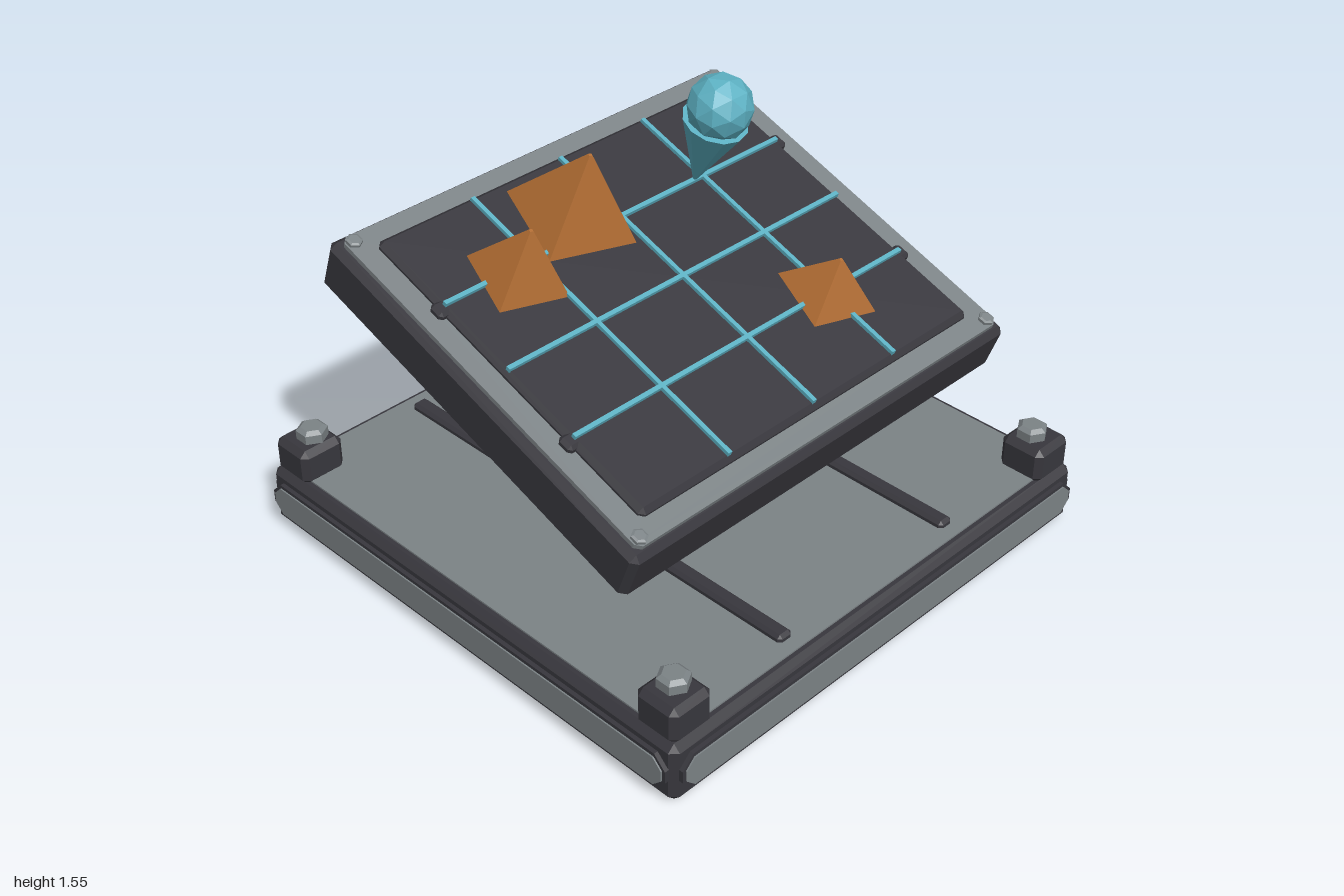
import * as THREE from 'three';
import { ConvexGeometry } from 'three/addons/geometries/ConvexGeometry.js';

const mat = (name, color, flatShading = true) => {
  const m = new THREE.MeshStandardMaterial({ color, flatShading });
  m.name = name;
  return m;
};

export function createModel() {
  const dark = mat('dark metal', 0x38373d);
  const grey = mat('grey metal', 0x7c8386);
  const teal = mat('teal', 0x5cb0c2);
  const orange = mat('orange', 0xb06c32);

  const add = (parent, name, geo, material, x = 0, y = 0, z = 0) => {
    const m = new THREE.Mesh(geo, material);
    m.name = name;
    m.position.set(x, y, z);
    parent.add(m);
    return m;
  };
  const group = (parent, name, x = 0, y = 0, z = 0) => {
    const g = new THREE.Group();
    g.name = name;
    g.position.set(x, y, z);
    parent.add(g);
    return g;
  };

  // Box with every edge chamfered by c
  const chamferBox = (w, h, d, c) => {
    const pts = [];
    for (const sx of [-1, 1]) for (const sy of [-1, 1]) for (const sz of [-1, 1]) {
      const [x, y, z] = [w / 2, h / 2, d / 2];
      pts.push(new THREE.Vector3(sx * x, sy * (y - c), sz * (z - c)));
      pts.push(new THREE.Vector3(sx * (x - c), sy * y, sz * (z - c)));
      pts.push(new THREE.Vector3(sx * (x - c), sy * (y - c), sz * z));
    }
    return new ConvexGeometry(pts);
  };

  // Rectangle with cut corners, extruded along +z
  const octagon = (w, h, cut, depth) => {
    const x = w / 2, y = h / 2;
    const s = new THREE.Shape([
      [x, -y + cut], [x, y - cut], [x - cut, y], [-x + cut, y],
      [-x, y - cut], [-x, -y + cut], [-x + cut, -y], [x - cut, -y],
    ].map(p => new THREE.Vector2(...p)));
    return new THREE.ExtrudeGeometry(s, { depth, bevelEnabled: false });
  };

  // Dark backing plate with a grey face
  const panel = (parent, w, h, cut, depth) => {
    add(parent, 'panelBacking', octagon(w + 0.025, h + 0.025, cut + 0.01, depth - 0.005), dark);
    add(parent, 'panelFace', octagon(w, h, cut, 0.005), grey, 0, 0, depth - 0.005);
  };

  // Hexagonal bolt standing along +y
  const bolt = (parent, r, h, x, y, z) => {
    const b = group(parent, 'bolt', x, y, z);
    add(b, 'boltHead', new THREE.CylinderGeometry(r, r, h * 0.75, 6), grey, 0, h * 0.375, 0);
    add(b, 'boltCap', new THREE.CylinderGeometry(r * 0.7, r, h * 0.25, 6), grey, 0, h * 0.875, 0);
    return b;
  };
  const corners = fn => { for (const sx of [-1, 1]) for (const sz of [-1, 1]) fn(sx, sz); };

  const model = new THREE.Group();
  model.name = 'tiltingMapTable';

  // Base slab with side panels, deck and floor plates
  const base = group(model, 'base');
  add(base, 'baseFrame', chamferBox(1.96, 0.225, 1.96, 0.025), dark, 0, 0.1175, 0);
  add(base, 'deckPlate', new THREE.BoxGeometry(1.88, 0.012, 1.88), grey, 0, 0.23, 0);
  add(base, 'floorPlate', new THREE.BoxGeometry(1.88, 0.01, 1.88), grey, 0, 0.005, 0);
  for (let i = 0; i < 4; i++) {
    const side = group(base, 'sidePanel', 0, 0.12, 0);
    side.rotation.y = i * Math.PI / 2;
    panel(group(side, 'panel', 0, 0, 0.975), 1.89, 0.11, 0.035, 0.025);
  }
  for (const s of [-1, 1])
    add(base, 'deckRail', chamferBox(0.06, 0.04, 1.78, 0.012), dark, s * 0.395, 0.24, 0);
  corners((sx, sz) => {
    add(base, 'cornerBlock', chamferBox(0.17, 0.135, 0.17, 0.022), dark, sx * 0.88, 0.287, sz * 0.88);
    bolt(base, 0.055, 0.05, sx * 0.87, 0.35, sz * 0.87);
  });

  // Support block with a panel and four bolts on each face
  const block = group(model, 'supportBlock', 0, 0.545, -0.46);
  const [bw, bh] = [0.70, 0.55];
  add(block, 'blockBody', chamferBox(bw, bh, bh, 0.028), dark);
  const faces = [[0, 0], [0, Math.PI], [0, Math.PI / 2], [0, -Math.PI / 2], [-Math.PI / 2, 0], [Math.PI / 2, 0]];
  faces.forEach(([rx, ry], i) => {
    const end = i === 2 || i === 3;
    const turn = group(block, 'blockFace');
    turn.rotation.set(rx, ry, 0);
    const face = group(turn, 'facePanel', 0, 0, end ? bw / 2 : bh / 2);
    panel(face, end ? 0.38 : 0.54, 0.38, 0.17, 0.03);
    corners((sx, sy) => {
      bolt(face, 0.03, 0.022, sx * (end ? 0.175 : 0.26), sy * 0.17, 0).rotation.x = Math.PI / 2;
    });
  });

  // Tilted tray
  const tray = group(model, 'tray', 0, 0.882, 0);
  tray.rotation.x = THREE.MathUtils.degToRad(20);
  add(tray, 'trayBody', chamferBox(1.75, 0.195, 1.465, 0.022), dark);
  add(tray, 'trayUnderside', new THREE.BoxGeometry(1.68, 0.008, 1.40), grey, 0, -0.098, 0);

  // Grey rim around the tray
  const rim = octagon(1.69, 1.41, 0.02, 0.02);
  const rimShape = rim.parameters.shapes;
  rimShape.holes.push(new THREE.Path([
    [-0.755, -0.625], [-0.755, 0.625], [0.755, 0.625], [0.755, -0.625],
  ].map(p => new THREE.Vector2(...p))));
  add(tray, 'trayRim', new THREE.ExtrudeGeometry(rimShape, { depth: 0.02, bevelEnabled: false }),
    grey, 0, 0.094, 0).rotation.x = -Math.PI / 2;
  corners((sx, sz) => bolt(tray, 0.028, 0.015, sx * 0.815, 0.113, sz * 0.675));

  // Raised map surface and cross rails above and below
  add(tray, 'mapSurface', chamferBox(1.53, 0.08, 1.26, 0.018), dark, 0, 0.1, 0);
  for (const s of [-1, 1]) {
    add(tray, 'upperRail', chamferBox(1.58, 0.04, 0.06, 0.012), dark, 0, 0.119, s * 0.305);
    add(tray, 'lowerRail', chamferBox(1.58, 0.04, 0.06, 0.012), dark, 0, -0.108, s * 0.3);
  }

  // Teal grid lines
  for (const i of [-1, 0, 1]) {
    add(tray, 'gridLineAlong', new THREE.BoxGeometry(0.016, 0.016, 1.23), teal, i * 0.385, 0.145, 0);
    add(tray, 'gridLineAcross', new THREE.BoxGeometry(1.51, 0.016, 0.016), teal, 0, 0.145, i * 0.305);
  }

  // Orange peaks: x, z, radius, height
  for (const [x, z, r, h] of [[-0.472, -0.28, 0.175, 0.21], [-0.145, -0.39, 0.228, 0.285], [0.385, 0.305, 0.172, 0.16]])
    add(tray, 'peak', new THREE.CylinderGeometry(0.008, r, h, 4), orange, x, 0.14 + h / 2, z)
      .rotation.y = THREE.MathUtils.degToRad(30);

  // Marker pin: inverted cone and ball
  const pin = group(tray, 'markerPin', 0.345, 0.145, -0.305);
  add(pin, 'pinCone', new THREE.CylinderGeometry(0.115, 0.004, 0.28, 12), teal, 0, 0.14, 0);
  add(pin, 'pinBall', new THREE.IcosahedronGeometry(0.115, 1), teal, 0, 0.34, 0);

  return model;
}
